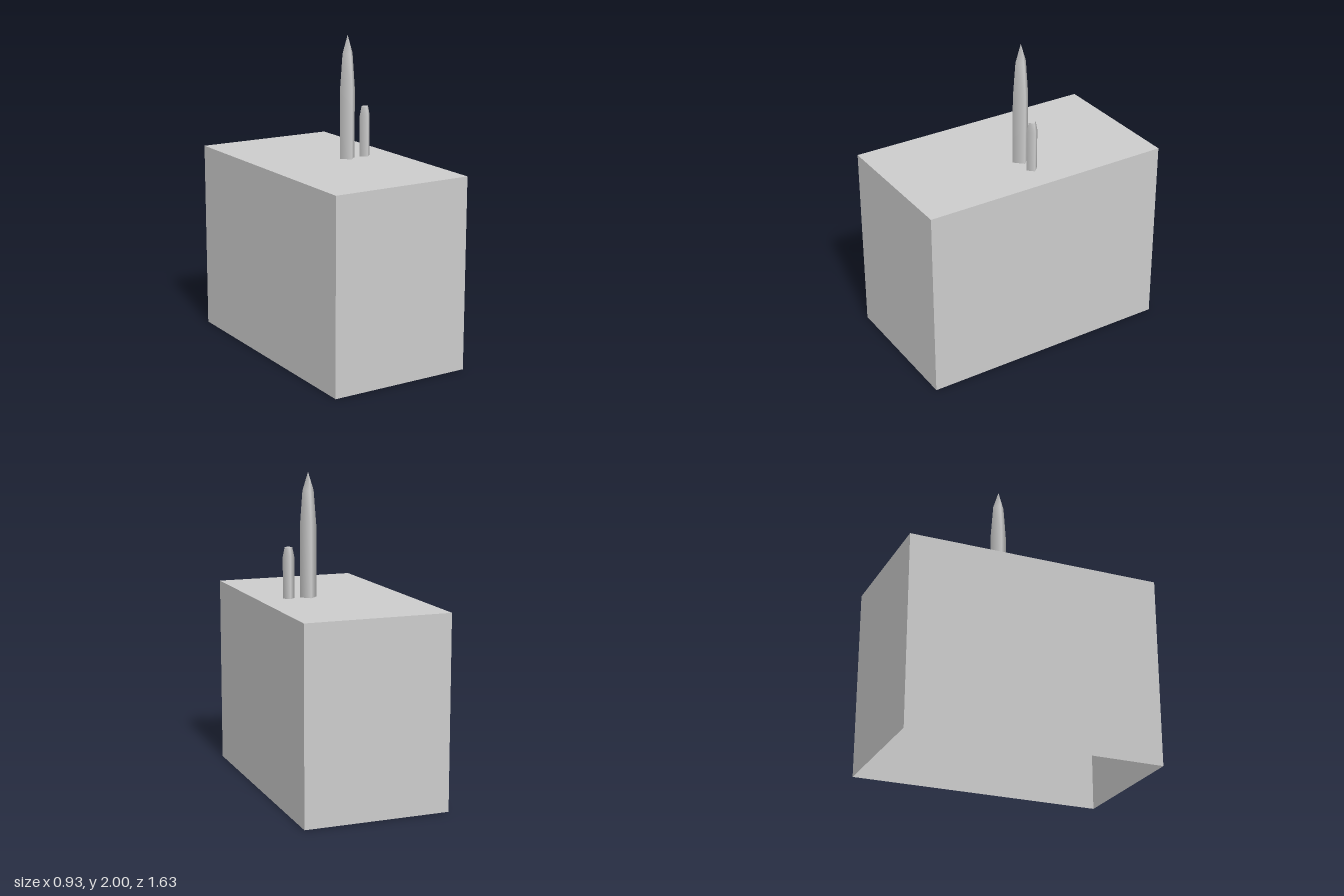
import * as THREE from 'three';

const TOP = 1.22;

// Four-sided tapering spire standing on the block; profile is [radius, y] pairs
function spire(name, x, profile, material) {
  const group = new THREE.Group();
  group.name = name;
  group.position.x = x;
  const shaft = new THREE.Mesh(
    new THREE.LatheGeometry(profile.map(([r, y]) => new THREE.Vector2(r, y)), 4), material);
  shaft.name = name + 'Shaft';
  group.add(shaft);

  // Flat cap where the profile does not end in a point
  const [r, y] = profile[profile.length - 1];
  if (r > 0.001) {
    const cap = new THREE.Mesh(new THREE.CircleGeometry(r, 4).rotateX(-Math.PI / 2), material);
    cap.name = name + 'Cap';
    cap.position.y = y;
    group.add(cap);
  }
  return group;
}

export function createModel() {
  const model = new THREE.Group();
  model.name = 'blockWithSpires';
  const grey = new THREE.MeshStandardMaterial({ color: 0xcccccc, side: THREE.DoubleSide });
  grey.name = 'light grey';

  // Hollow block, open underneath: drop the six indices of the bottom face
  const box = new THREE.BoxGeometry(0.925, TOP, 1.634);
  box.setIndex(Array.from(box.index.array).filter((_, i) => i < 18 || i >= 24));
  box.clearGroups();
  const block = new THREE.Mesh(box, grey);
  block.name = 'block';
  block.position.y = TOP / 2;
  model.add(block);

  // Tall pointed spire and short blunt one
  model.add(spire('tallSpire', 0.133,
    [[0.055, TOP], [0.055, 1.66], [0.037, 1.885], [0, 2]], grey));
  model.add(spire('shortSpire', 0.263,
    [[0.038, TOP], [0.038, 1.48], [0.025, 1.54]], grey));

  return model;
}
